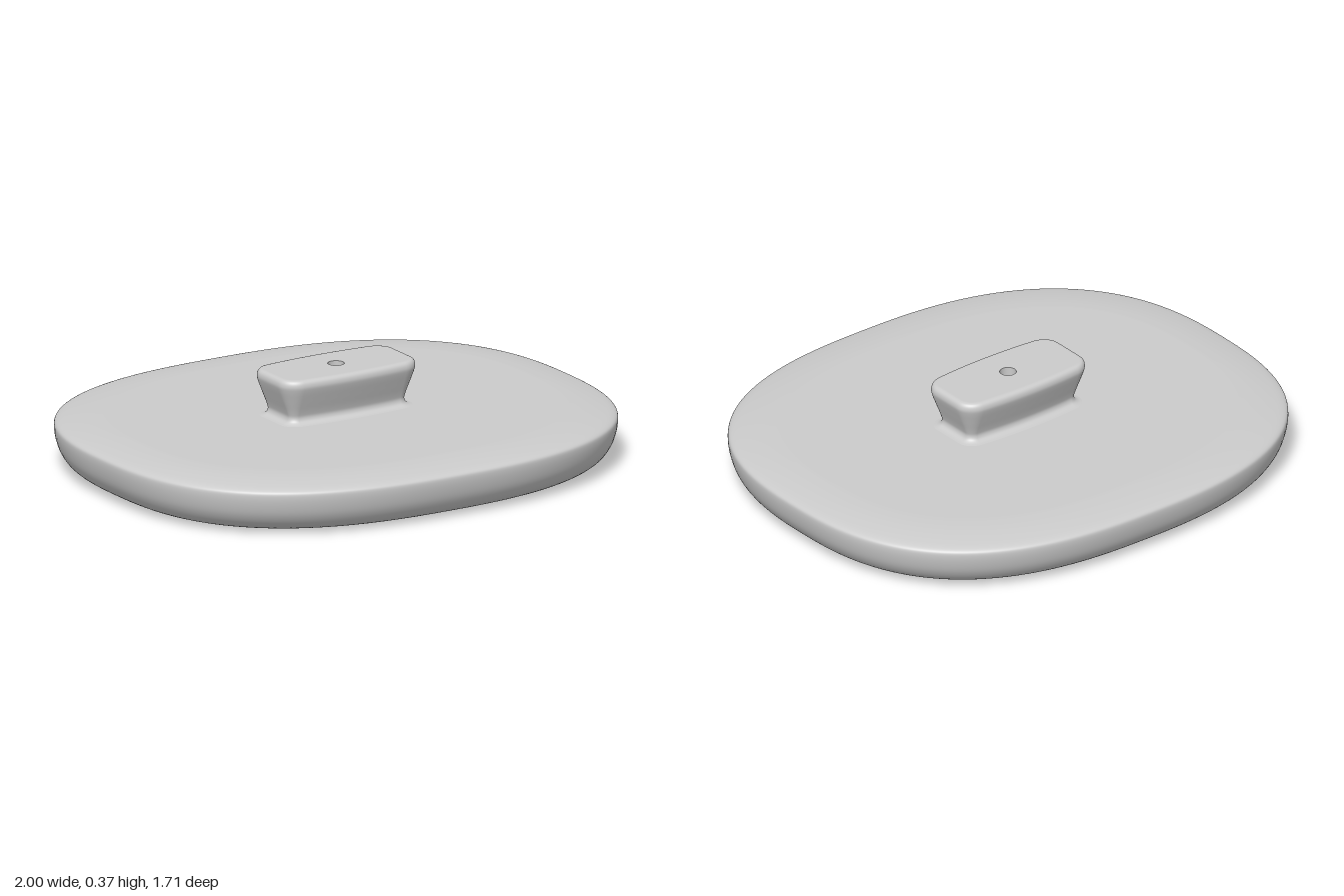
import * as THREE from 'three';

const HOLE = 0.03;
const material = new THREE.MeshStandardMaterial({ color: 0xcccccc });

// Skin closed rings of [x, z] points; each ring is { y, pts }
function loft(name, rings) {
  const n = rings[0].pts.length, pos = [], idx = [];
  for (const { y, pts } of rings) for (const [x, z] of pts) pos.push(x, y, z);
  for (let r = 0; r < rings.length - 1; r++) {
    for (let i = 0; i < n; i++) {
      const a = r * n + i, b = r * n + (i + 1) % n;
      idx.push(a, a + n, b, b, a + n, b + n);
    }
  }
  const geo = new THREE.BufferGeometry();
  geo.setAttribute('position', new THREE.Float32BufferAttribute(pos, 3));
  geo.setIndex(idx);
  geo.computeVertexNormals();
  const mesh = new THREE.Mesh(geo, material);
  mesh.name = name;
  return mesh;
}

// Soft oval outline of the lid, pulled in by d
function lidOutline(d) {
  const pts = [], p = 2 / 2.55;
  for (let i = 0; i < 128; i++) {
    const t = (i / 128) * Math.PI * 2, c = Math.cos(t), s = Math.sin(t);
    pts.push([
      (1 - d) * Math.sign(c) * Math.abs(c) ** p,
      (0.855 - d) * Math.sign(s) * Math.abs(s) ** p,
    ]);
  }
  return pts;
}

// Rounded rectangle with bowed long sides, pulled in by d
function knobOutline(d) {
  const hx = 0.287 - d, hz = 0.145 - d, r = Math.max(0.07 - d, 0.025);
  const corners = [[1, 1], [-1, 1], [-1, -1], [1, -1]];
  const arcs = corners.map(([sx, sz], k) => {
    const arc = [];
    for (let i = 0; i <= 10; i++) {
      const t = (k + i / 10) * Math.PI / 2;
      arc.push([sx * (hx - r) + r * Math.cos(t), sz * (hz - r) + r * Math.sin(t)]);
    }
    return arc;
  });
  const pts = [];
  arcs.forEach((arc, k) => {
    pts.push(...arc);
    const a = arc[10], b = arcs[(k + 1) % 4][0];
    for (let i = 1; i < 12; i++) {
      const f = i / 12;
      pts.push([a[0] + (b[0] - a[0]) * f, a[1] + (b[1] - a[1]) * f]);
    }
  });
  return pts.map(([x, z]) => [x, z * (1 - 0.13 * (x / hx) ** 2)]);
}

// Circle whose points line up with the given outline
const holeRing = (outline) => outline.map(([x, z]) => {
  const t = Math.atan2(z, x);
  return [HOLE * Math.cos(t), HOLE * Math.sin(t)];
});

// Smooth [inset, y] profile turned into rings
function profileRings(points, count, outline) {
  const curve = new THREE.CatmullRomCurve3(
    points.map(([d, y]) => new THREE.Vector3(d, y, 0)), false, 'centripetal');
  return curve.getPoints(count).map((p) => ({ y: p.y, pts: outline(p.x) }));
}

export function createModel() {
  const group = new THREE.Group();
  group.name = 'lidWithKnob';

  // Lid: flat underside, rounded wall, gently crowned rim, bore through the middle
  const bore = holeRing(lidOutline(0));
  const lidRings = [
    { y: 0, pts: bore }, { y: 0, pts: lidOutline(0.2) },
    ...profileRings([
      [0.16, 0], [0.125, 0.002], [0.08, 0.014], [0.043, 0.038], [0.018, 0.075],
      [0.005, 0.115], [0, 0.155], [0.003, 0.169], [0.016, 0.178],
      [0.06, 0.188], [0.12, 0.196], [0.18, 0.2],
    ], 44, lidOutline),
    { y: 0.2, pts: lidOutline(0.24) }, { y: 0.2, pts: bore },
    { y: 0.2, pts: bore }, { y: 0, pts: bore },
  ];
  group.add(loft('lid', lidRings));

  // Knob: filleted foot, narrow neck, flared grip with a softened top edge
  const knobBore = holeRing(knobOutline(0));
  const knobRings = [
    ...profileRings([
      [0.01, 0.2], [0.024, 0.203], [0.036, 0.211], [0.041, 0.225], [0.037, 0.243],
      [0.02, 0.288], [0.002, 0.337], [0, 0.35], [0.003, 0.363],
      [0.01, 0.371], [0.02, 0.374],
    ], 40, knobOutline),
    { y: 0.374, pts: knobOutline(0.026) }, { y: 0.374, pts: knobBore },
    { y: 0.374, pts: knobBore }, { y: 0.2, pts: knobBore },
  ];
  group.add(loft('knob', knobRings));

  return group;
}
